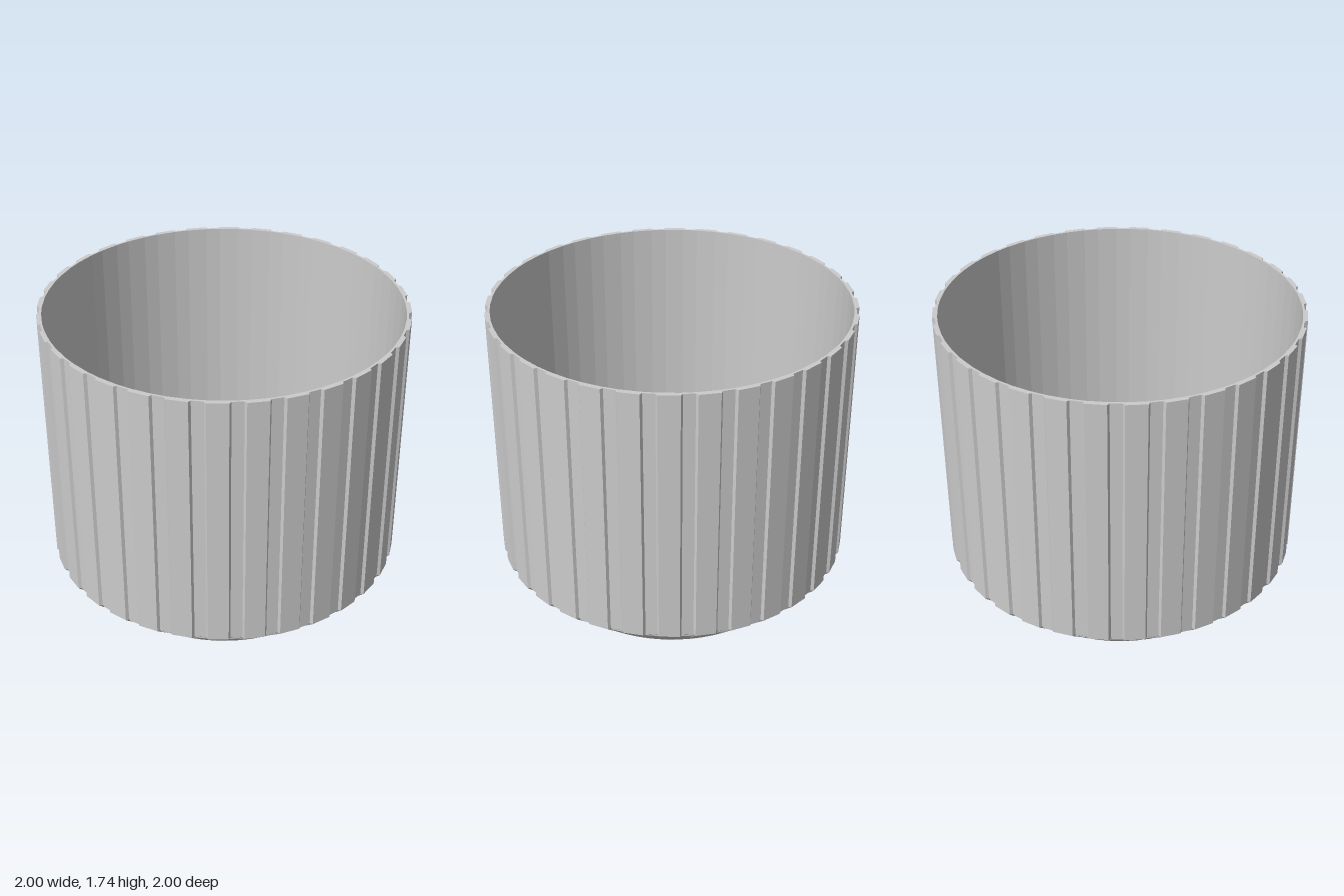
import * as THREE from 'three';

const TEETH = 32;
const STEP = (Math.PI * 2) / TEETH;
// four points per rib: groove, rib, rib, groove
const OFFSETS = [-3.8, -3.2, 3.2, 3.8].map(THREE.MathUtils.degToRad);

// point on a 32-sided ring whose corners sit on the rib centres
const polygon = (r) => (a, k) => {
  const toMiddle = STEP / 2 - Math.abs(a);
  return (r * Math.cos(STEP / 2)) / Math.cos(toMiddle);
};
// ribbed ring: raised ribs and shallow grooves
const ribbed = (rib, groove) => (a, k) => (k === 1 || k === 2 ? rib : groove);

function ring(y, radius) {
  const pts = [];
  for (let i = 0; i < TEETH; i++) {
    OFFSETS.forEach((a, k) => {
      const r = radius(a, k), t = i * STEP + a;
      pts.push([r * Math.sin(t), y, r * Math.cos(t)]);
    });
  }
  return pts;
}

// joins consecutive rings with quads
function skin(rings) {
  const pos = [];
  for (let j = 0; j < rings.length - 1; j++) {
    const lo = rings[j], hi = rings[j + 1], n = lo.length;
    for (let i = 0; i < n; i++) {
      const m = (i + 1) % n;
      pos.push(...lo[i], ...lo[m], ...hi[m], ...lo[i], ...hi[m], ...hi[i]);
    }
  }
  const geo = new THREE.BufferGeometry();
  geo.setAttribute('position', new THREE.Float32BufferAttribute(pos, 3));
  geo.computeVertexNormals();
  return geo;
}

export function createModel() {
  const group = new THREE.Group();
  group.name = 'ribbedCup';
  const material = new THREE.MeshStandardMaterial({
    color: 0xcccccc, flatShading: true, side: THREE.DoubleSide,
  });
  const add = (name, geo) => {
    const mesh = new THREE.Mesh(geo, material);
    mesh.name = name;
    group.add(mesh);
    return mesh;
  };

  const TOP = 1.74, SHOULDER = 0.25;
  const outer = ribbed(1.0015, 0.986);
  const inner = polygon(0.978);

  // flat floor, corners on the rib centres
  add('floor', new THREE.CircleGeometry(0.74, TEETH).rotateX(Math.PI / 2).rotateY(Math.PI / 2));

  // sloped base, ribs fade out towards the floor
  add('slopedBase', skin([
    ring(0, polygon(0.74)),
    ring(0.08, polygon(0.822)),
    ring(SHOULDER, outer),
  ]));

  // ribbed outside, thin rim and plain inside wall
  add('outerWall', skin([ring(SHOULDER, outer), ring(TOP, outer)]));
  add('rim', skin([ring(TOP, outer), ring(TOP, inner)]));
  add('innerWall', skin([ring(TOP, inner), ring(SHOULDER - 0.02, inner)]));

  return group;
}
